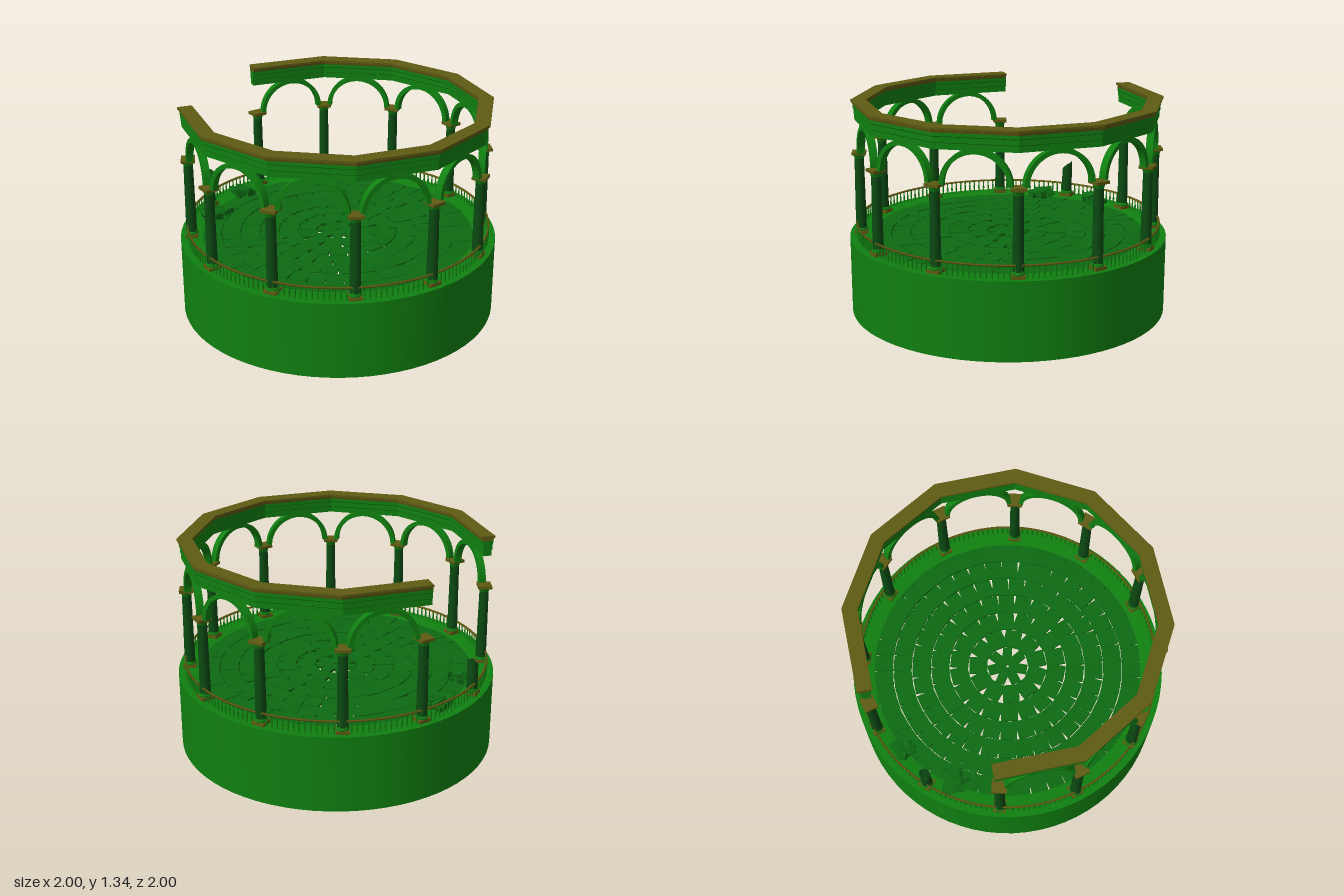
import * as THREE from 'three';
import { mergeGeometries } from 'three/addons/utils/BufferGeometryUtils.js';

const STEP = Math.PI / 6; // twelve bays
const R = 0.93; // column circle
const FLOOR = 0.487;

const green = new THREE.MeshStandardMaterial({ color: 0x108010 });
const greenOpen = new THREE.MeshStandardMaterial({ color: 0x108010, side: THREE.DoubleSide });
const greenFlat = new THREE.MeshStandardMaterial({ color: 0x0d6a12, flatShading: true });
const shaftGreen = new THREE.MeshStandardMaterial({ color: 0x0b4a12 });
const olive = new THREE.MeshStandardMaterial({ color: 0x5e5a12 });

let seed = 7;
const rand = () => {
  seed = (seed * 16807) % 2147483647;
  return (seed / 2147483647) * 2 - 1;
};

function add(parent, name, geometry, material) {
  const mesh = new THREE.Mesh(geometry, material);
  mesh.name = name;
  parent.add(mesh);
  return mesh;
}

// Turn an object so its local +z points outward at the given angle
function placeRadial(object, angle, radius, y = 0) {
  object.position.set(Math.sin(angle) * radius, y, Math.cos(angle) * radius);
  object.rotation.y = angle;
  return object;
}

const ringLathe = (points, segments = 72) =>
  new THREE.LatheGeometry(points.map(([x, y]) => new THREE.Vector2(x, y)), segments);

function makeColumn(broken) {
  const column = new THREE.Group();
  column.name = broken ? 'brokenColumn' : 'column';
  add(column, 'plinth', new THREE.BoxGeometry(0.08, 0.02, 0.08), olive).position.y = FLOOR + 0.01;
  const foot = ringLathe([[0.038, 0.507], [0.041, 0.513], [0.038, 0.52], [0.034, 0.526]], 20);
  add(column, 'columnFoot', foot, green);
  const top = broken ? 0.7 : 1.0;
  const height = top - 0.505;
  const shaft = new THREE.CylinderGeometry(broken ? 0.033 : 0.029, 0.034, height, 16);
  if (broken) {
    // Slanted, ragged break
    const p = shaft.attributes.position;
    for (let i = 0; i < p.count; i++) {
      if (p.getY(i) > 0) {
        const x = p.getX(i), z = p.getZ(i);
        p.setY(i, height / 2 - x * 0.9 + Math.sin(z * 160) * 0.008);
      }
    }
    shaft.computeVertexNormals();
  }
  add(column, 'shaft', shaft, shaftGreen).position.y = 0.505 + height / 2;
  if (!broken) {
    add(column, 'capitalNeck', ringLathe([[0.029, 0.97], [0.032, 0.978], [0.034, 0.988], [0.042, 1.0]], 20), green);
    add(column, 'capital', new THREE.BoxGeometry(0.092, 0.018, 0.086), olive).position.y = 1.006;
  }
  return column;
}

// Sweep a [offset, height] profile along the ten standing bays, mitred at each column
function sweepBeam(profile) {
  const shape = new THREE.Shape(profile.map(([x, y]) => new THREE.Vector2(x, y)));
  const geometry = new THREE.ExtrudeGeometry(shape, { depth: 10, steps: 10, bevelEnabled: false });
  const p = geometry.attributes.position;
  for (let i = 0; i < p.count; i++) {
    const d = p.getX(i);
    const station = 10 - Math.round(p.getZ(i));
    const a = (station + 11) * STEP;
    let x, z;
    if (station === 0 || station === 10) {
      // Square-cut ends that overhang the last columns
      const end = station === 0 ? -1 : 1;
      const n = a - end * STEP / 2;
      x = Math.sin(a) * 0.925 + Math.sin(n) * d + Math.cos(n) * end * 0.035;
      z = Math.cos(a) * 0.925 + Math.cos(n) * d - Math.sin(n) * end * 0.035;
    } else {
      const r = 0.925 + d / Math.cos(STEP / 2);
      x = Math.sin(a) * r;
      z = Math.cos(a) * r;
    }
    p.setXYZ(i, x, p.getY(i), z);
  }
  geometry.computeVertexNormals();
  return geometry;
}

const mirrorProfile = (half) =>
  [...half, ...half.slice().reverse().map(([x, y]) => [-x, y])];

export function createModel() {
  const model = new THREE.Group();
  model.name = 'ruinedRotunda';

  // Hollow drum and its walkway rim
  add(model, 'drumWall', new THREE.CylinderGeometry(1, 1, FLOOR, 72, 1, true), greenOpen).position.y = FLOOR / 2;
  add(model, 'walkwayRim', ringLathe([[1, FLOOR], [0.862, FLOOR], [0.862, FLOOR - 0.02]]), greenOpen);

  // Paving: rings of slightly crooked rectangular slabs
  const slabs = [];
  const dummy = new THREE.Object3D();
  [7, 11, 18, 26, 33, 40, 48].forEach((count, ring) => {
    const radius = 0.068 + ring * 0.1225;
    const width = (2 * Math.PI * radius) / count;
    for (let i = 0; i < count; i++) {
      placeRadial(dummy, ((i + ring * 0.37) / count) * Math.PI * 2, radius, FLOOR - 0.012 + rand() * 0.003);
      dummy.rotation.set(rand() * 0.03, dummy.rotation.y + rand() * 0.05, rand() * 0.03);
      dummy.updateMatrix();
      slabs.push(new THREE.BoxGeometry(width * (1 + rand() * 0.05), 0.018, 0.117).applyMatrix4(dummy.matrix));
    }
  });
  add(model, 'pavingSlabs', mergeGeometries(slabs), greenFlat);

  // Columns, one of them snapped
  for (let k = 0; k < 12; k++) model.add(placeRadial(makeColumn(k === 10), k * STEP, R));

  // Arches over the standing bays
  const archShape = new THREE.Shape();
  archShape.absarc(0, 0, 0.212, 0, Math.PI, false);
  archShape.absarc(0, 0, 0.184, Math.PI, 0, true);
  const archGeometry = new THREE.ExtrudeGeometry(archShape, { depth: 0.044, bevelEnabled: false, curveSegments: 24 });
  archGeometry.translate(0, 0, -0.022);
  for (let k = 0; k < 12; k++) {
    if (k === 9 || k === 10) continue;
    placeRadial(add(model, 'arch', archGeometry, green), (k + 0.5) * STEP, R * Math.cos(STEP / 2), 1.01);
  }

  // Broken ring beam with moulded sides and a projecting cornice
  add(model, 'ringBeam', sweepBeam(mirrorProfile([
    [0.026, 1.214], [0.026, 1.25], [0.03, 1.254], [0.03, 1.285], [0.034, 1.29], [0.034, 1.31],
  ])), green);
  add(model, 'cornice', sweepBeam(mirrorProfile([
    [0.034, 1.31], [0.038, 1.325], [0.046, 1.328], [0.046, 1.341],
  ])), olive);

  // Balustrade
  const railing = new THREE.Group();
  railing.name = 'balustrade';
  model.add(railing);
  const bar = (y0, y1, r0, r1) => ringLathe([[r0, y0], [r1, y0], [r1, y1], [r0, y1], [r0, y0]], 96);
  add(railing, 'handrail', bar(0.561, 0.571, 0.949, 0.96), olive);
  const spindle = ringLathe(
    [[0.006, 0], [0.0035, 0.012], [0.0065, 0.03], [0.0035, 0.058], [0.0055, 0.076]], 6);
  const spindles = [];
  for (let i = 0; i < 180; i++) {
    placeRadial(dummy, ((i + 0.5) / 180) * Math.PI * 2, 0.9545, FLOOR);
    dummy.rotation.set(0, dummy.rotation.y, 0);
    dummy.updateMatrix();
    spindles.push(spindle.clone().applyMatrix4(dummy.matrix));
  }
  add(railing, 'spindles', mergeGeometries(spindles), green);

  // Fallen masonry beside the snapped column: x, z, spread, blocks
  [[-0.64, 0.53, 0.065, 13], [-0.83, 0.21, 0.055, 9]].forEach(([x, z, spread, count]) => {
    const pile = new THREE.Group();
    pile.name = 'rubblePile';
    pile.position.set(x, FLOOR, z);
    model.add(pile);
    for (let i = 0; i < count; i++) {
      const size = 0.045 + rand() * 0.015;
      const block = add(pile, 'fallenBlock', new THREE.BoxGeometry(size * 1.5, size * 0.7, size), greenFlat);
      block.position.set(rand() * spread, 0.014 + (i % 3) * 0.014, rand() * spread);
      block.rotation.set(rand() * 0.35, rand() * 3, rand() * 0.35);
    }
    const drum = add(pile, 'fallenDrum', new THREE.CylinderGeometry(0.03, 0.032, 0.08, 14), greenFlat);
    drum.position.set(0.02, 0.032, 0.01);
    drum.rotation.set(Math.PI / 2, 0, 0.9 + x);
  });

  return model;
}
